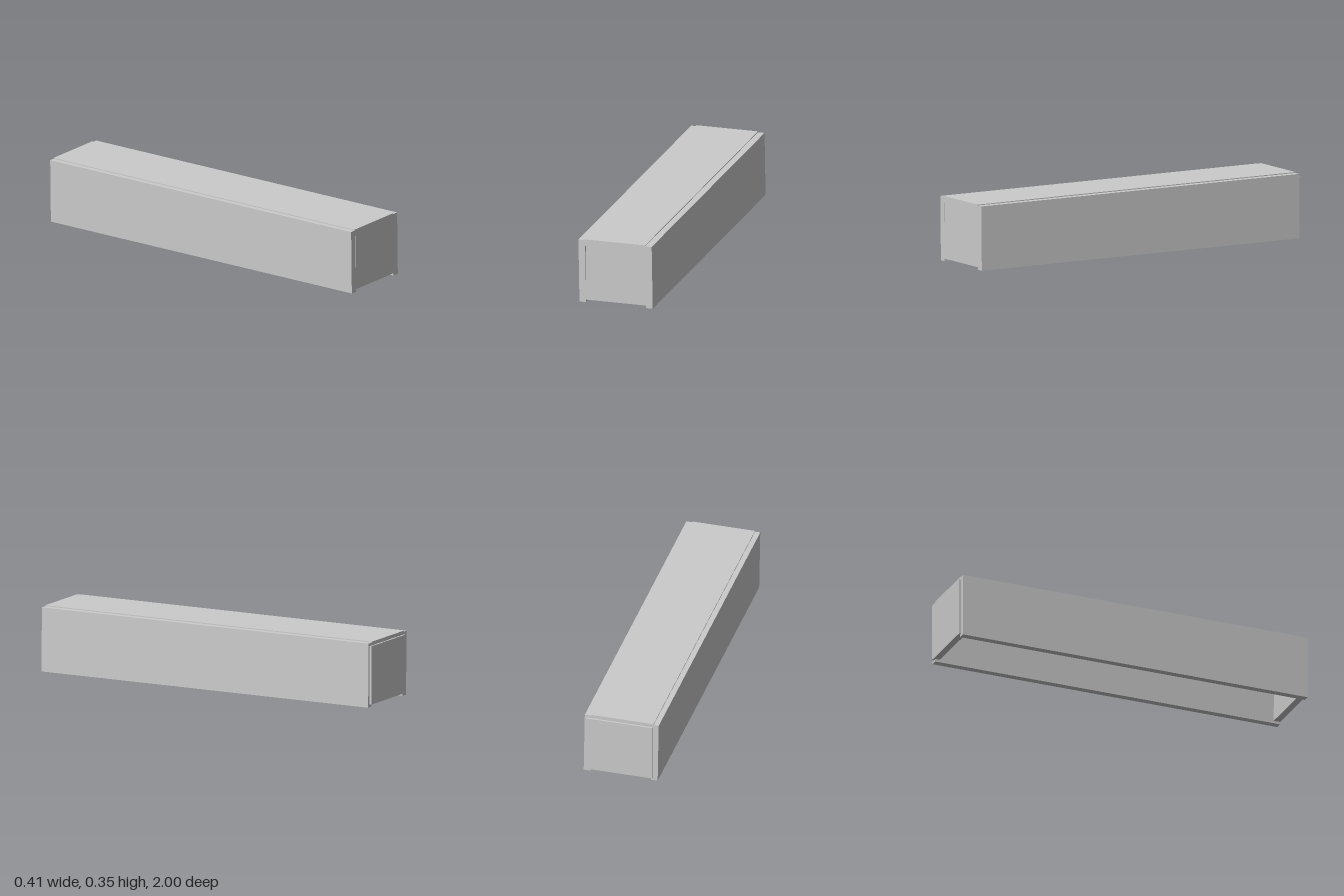
import * as THREE from 'three';

const BOARD = 0.037; // board thickness
const LEAN = -0.006 / 0.345; // sideways lean of the walls, x per unit of height

export function createModel() {
  const group = new THREE.Group();
  const material = new THREE.MeshStandardMaterial({ color: 0xcccccc, flatShading: true });

  // A board given by its minimum and maximum corners, optionally leaning in x
  function board(name, [x0, y0, z0], [x1, y1, z1], lean = 0) {
    const geometry = new THREE.BoxGeometry(x1 - x0, y1 - y0, z1 - z0);
    geometry.translate((x0 + x1) / 2, (y0 + y1) / 2, (z0 + z1) / 2);
    const p = geometry.attributes.position;
    for (let i = 0; i < p.count; i++) p.setX(i, p.getX(i) + lean * p.getY(i));
    geometry.computeVertexNormals();
    const mesh = new THREE.Mesh(geometry, material);
    mesh.name = name;
    group.add(mesh);
  }

  // Long side walls, leaning slightly together
  board('rightWall', [-0.201, 0, -0.99], [-0.201 + BOARD, 0.345, 1], LEAN);
  board('leftWall', [0.206 - BOARD, 0, -0.99], [0.206, 0.345, 1], LEAN);

  // Lid set between the walls and standing a little proud of them
  board('lid', [-0.178, 0.35 - BOARD, -0.99], [0.164, 0.35, 1]);

  // End panels, clear of the ground; the bottom is open
  board('frontPanel', [-0.166, 0.014, 1 - BOARD], [0.17, 0.33, 1]);
  board('backPanel', [-0.175, 0.015, -1], [0.19, 0.33, -1 + BOARD]);

  return group;
}
